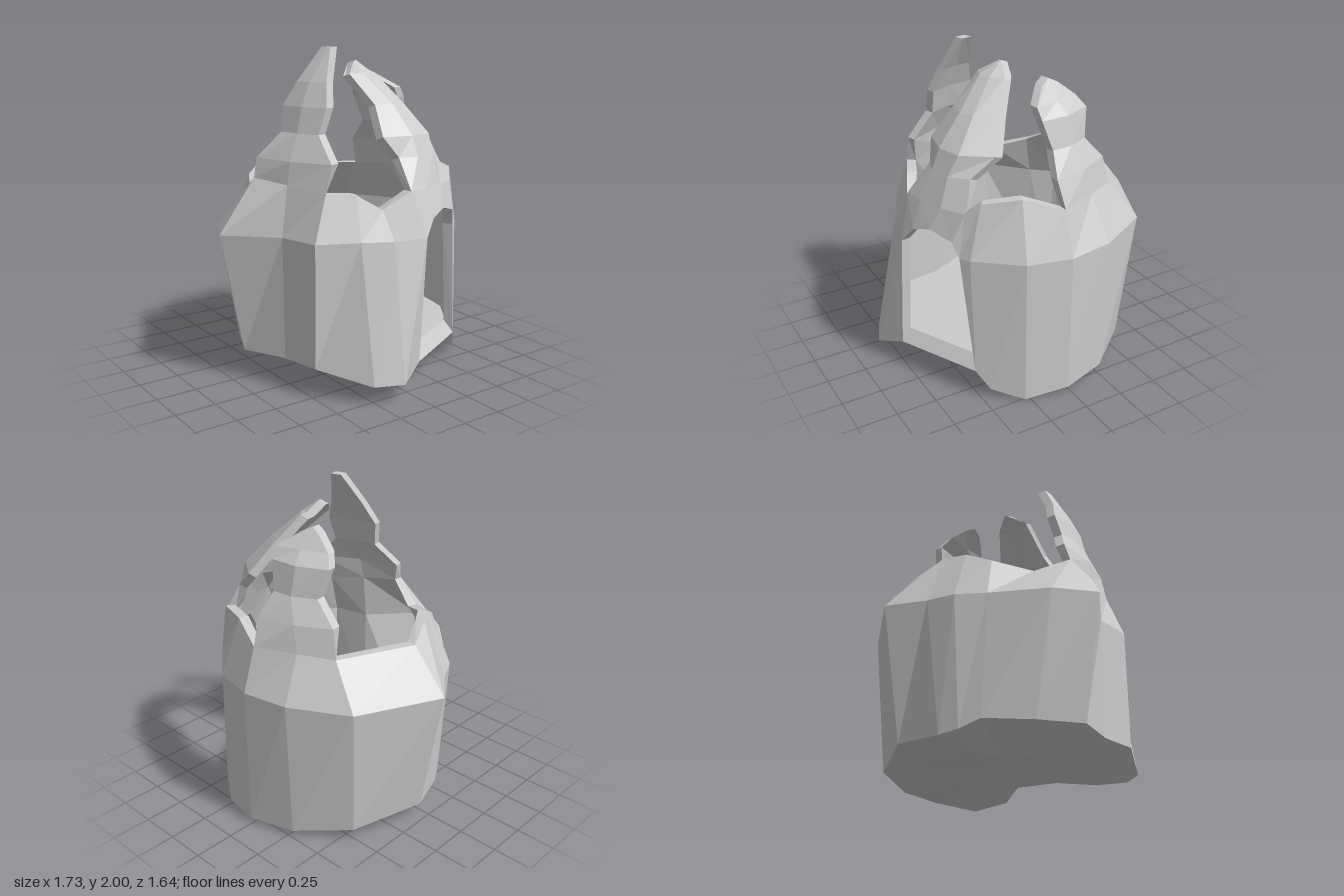
import * as THREE from 'three';

const THICK = 0.06, FLOOR_Y = 0.26, N = 17;

// Rings of the wall, from the front round by +x to the back and -x: [x, y, z]
const foot = [
  [0.01, 0.18, 0.67], [0.27, 0.18, 0.54], [0.52, 0.18, 0.49], [0.79, 0.11, 0.27], [0.86, 0.11, 0.1], [0.77, 0.18, -0.08],
  [0.52, 0.18, -0.58], [0.45, 0.06, -0.64], [0.28, 0, -0.76], [0.01, 0.03, -0.82], [-0.28, 0.04, -0.74], [-0.57, 0.07, -0.51],
  [-0.73, 0.11, -0.07], [-0.64, 0.11, 0.2], [-0.58, 0.13, 0.3], [-0.5, 0.18, 0.4], [-0.25, 0.18, 0.56],
];
const shoulder = [
  [0.01, 0.82], [0.27, 0.55], [0.52, 0.49], [0.63, 0.25], [0.72, 0.08], [0.76, -0.13],
  [0.57, -0.5], [0.53, -0.555], [0.28, -0.76], [0.01, -0.82], [-0.28, -0.77], [-0.63, -0.58],
  [-0.87, -0.07], [-0.71, 0.14], [-0.63, 0.3], [-0.49, 0.43], [-0.24, 0.7],
].map(([x, z]) => [x, 0.92, z]);
const rim = [
  [0.01, 1.24, 0.58], [0.25, 1.22, 0.5], [0.48, 1.19, 0.39], [0.55, 1.18, 0.23], [0.62, 1.09, 0.09], [0.68, 1.19, -0.07],
  [0.53, 1.19, -0.5], [0.46, 1.26, -0.56], [0.24, 1.27, -0.64], [0.01, 1.19, -0.73], [-0.24, 1.19, -0.63], [-0.44, 1.18, -0.52],
  [-0.65, 1.19, -0.08], [-0.58, 1.26, 0.09], [-0.5, 1.26, 0.22], [-0.42, 1.18, 0.37], [-0.2, 1.13, 0.49],
];
// Arch of the doorway, then the two rim points above it
const arch = [[0.72, 1.02, -0.21], [0.67, 1.06, -0.33], [0.6, 1.02, -0.47], [0.66, 1.19, -0.2], [0.61, 1.19, -0.36]];

// Point on the inner face of the wall, moved level towards the axis
function inset([x, y, z], isFoot) {
  const k = 1 - THICK / Math.hypot(x, z);
  return [x * k, isFoot ? FLOOR_Y : y, z * k];
}

function flatMesh(name, points, tris) {
  const geo = new THREE.BufferGeometry();
  geo.setAttribute('position', new THREE.Float32BufferAttribute(tris.flat().flatMap(i => points[i]), 3));
  geo.computeVertexNormals();
  const mesh = new THREE.Mesh(geo, new THREE.MeshStandardMaterial({ color: 0xcccccc, flatShading: true }));
  mesh.name = name;
  return mesh;
}

export function createModel() {
  const outer = [...foot, ...shoulder, ...rim, ...arch];
  const inside = outer.map((p, i) => inset(p, i < N));
  const faces = [];
  const quad = (a, b, c, d) => faces.push([a, b, c], [a, c, d]);

  // Wall, left open at the doorway
  for (let i = 0; i < N; i++) {
    const j = (i + 1) % N;
    if (i === 5) continue;
    quad(i, j, N + j, N + i);
    quad(N + i, N + j, 2 * N + j, 2 * N + i);
  }
  // Lintel round the arch
  faces.push([22, 51, 39]);
  quad(51, 52, 54, 39);
  quad(52, 53, 55, 54);
  quad(53, 23, 40, 55);

  // Jagged spike rising from rim points (base) and facing out.
  // Each row is a height, then x, z pairs; peak lifts the middle of the last row.
  function spike(base, out, peak, ...rows) {
    let low = base;
    rows.forEach(([y, ...xz], r) => {
      const high = base.map((_, k) => {
        const middle = k > 0 && k < base.length - 1;
        const p = [xz[2 * k], y + (middle && r === rows.length - 1 ? peak : 0), xz[2 * k + 1]];
        inside.push(p.map((v, i) => v - THICK * out[i]));
        return outer.push(p) - 1;
      });
      for (let k = 0; k < base.length - 1; k++) quad(low[k], low[k + 1], high[k + 1], high[k]);
      low = high;
    });
  }
  // Front spike
  spike([34, 35, 36], [0.25, 0, 0.97], 0,
    [1.355, -0.01, 0.55, 0.25, 0.48, 0.48, 0.35],
    [1.51, 0.08, 0.43, 0.22, 0.41, 0.35, 0.35],
    [1.66, 0.05, 0.4, 0.21, 0.37, 0.36, 0.3],
    [1.8, 0.1, 0.33, 0.2, 0.31, 0.3, 0.26],
    [2, 0.15, 0.19, 0.185, 0.185, 0.22, 0.175]);
  // Spike beside the door
  spike([39, 54, 55, 40], [0.85, 0.3, -0.2], 0.06,
    [1.365, 0.54, -0.09, 0.58, -0.2, 0.55, -0.34, 0.46, -0.44],
    [1.485, 0.49, -0.01, 0.53, -0.2, 0.49, -0.36, 0.32, -0.48],
    [1.66, 0.36, -0.05, 0.38, -0.17, 0.35, -0.27, 0.23, -0.36],
    [1.835, 0.17, 0, 0.2, -0.08, 0.18, -0.16, 0.12, -0.23],
    [1.85, 0.16, -0.03, 0.08, -0.1, 0.08, -0.12, 0.1, -0.2]);
  // Back spike
  spike([43, 44, 45], [-0.15, 0, -0.99], 0.03,
    [1.35, 0.03, -0.67, -0.2, -0.61, -0.4, -0.5],
    [1.49, 0, -0.57, -0.13, -0.56, -0.27, -0.49],
    [1.66, 0.05, -0.53, -0.13, -0.52, -0.31, -0.44],
    [1.73, 0.06, -0.49, -0.1, -0.45, -0.26, -0.39],
    [1.81, -0.04, -0.38, -0.1, -0.35, -0.16, -0.36]);

  // Inner face, and the broken edges that join it to the outer face
  const n = outer.length;
  const tris = [...faces, ...faces.map(([a, b, c]) => [a + n, c + n, b + n])];
  const edges = new Set(faces.flatMap(([a, b, c]) => [`${a},${b}`, `${b},${c}`, `${c},${a}`]));
  for (const edge of edges) {
    const [a, b] = edge.split(',').map(Number);
    if (edges.has(`${b},${a}`) || (a < N && b < N)) continue;
    tris.push([b, a, a + n], [b, a + n, b + n]);
  }

  // Floor, door sill and underside, which slopes in to a nearly flat middle
  const inner = inside.slice(0, N);
  const keel = foot.map(([x, y, z]) => {
    const k = y > 0.15 ? 0.5 : y > 0.1 ? 0.72 : 0.95;
    return [x * k, Math.min(y, 0.06), z * k];
  });
  const floorTris = [], underTris = [];
  for (let i = 0; i < N; i++) {
    const j = (i + 1) % N;
    floorTris.push([N, i, j]);
    underTris.push([j, i, N + i], [j, N + i, N + j], [2 * N, N + j, N + i]);
  }

  const group = new THREE.Group();
  group.name = 'brokenHut';
  group.add(
    flatMesh('wall', [...outer, ...inside], tris),
    flatMesh('floor', [...inner, [0, FLOOR_Y, 0]], floorTris),
    flatMesh('doorSill', [foot[5], foot[6], inner[6], inner[5]], [[0, 1, 2], [0, 2, 3]]),
    flatMesh('underside', [...foot, ...keel, [0, 0.045, 0]], underTris),
  );
  return group;
}
